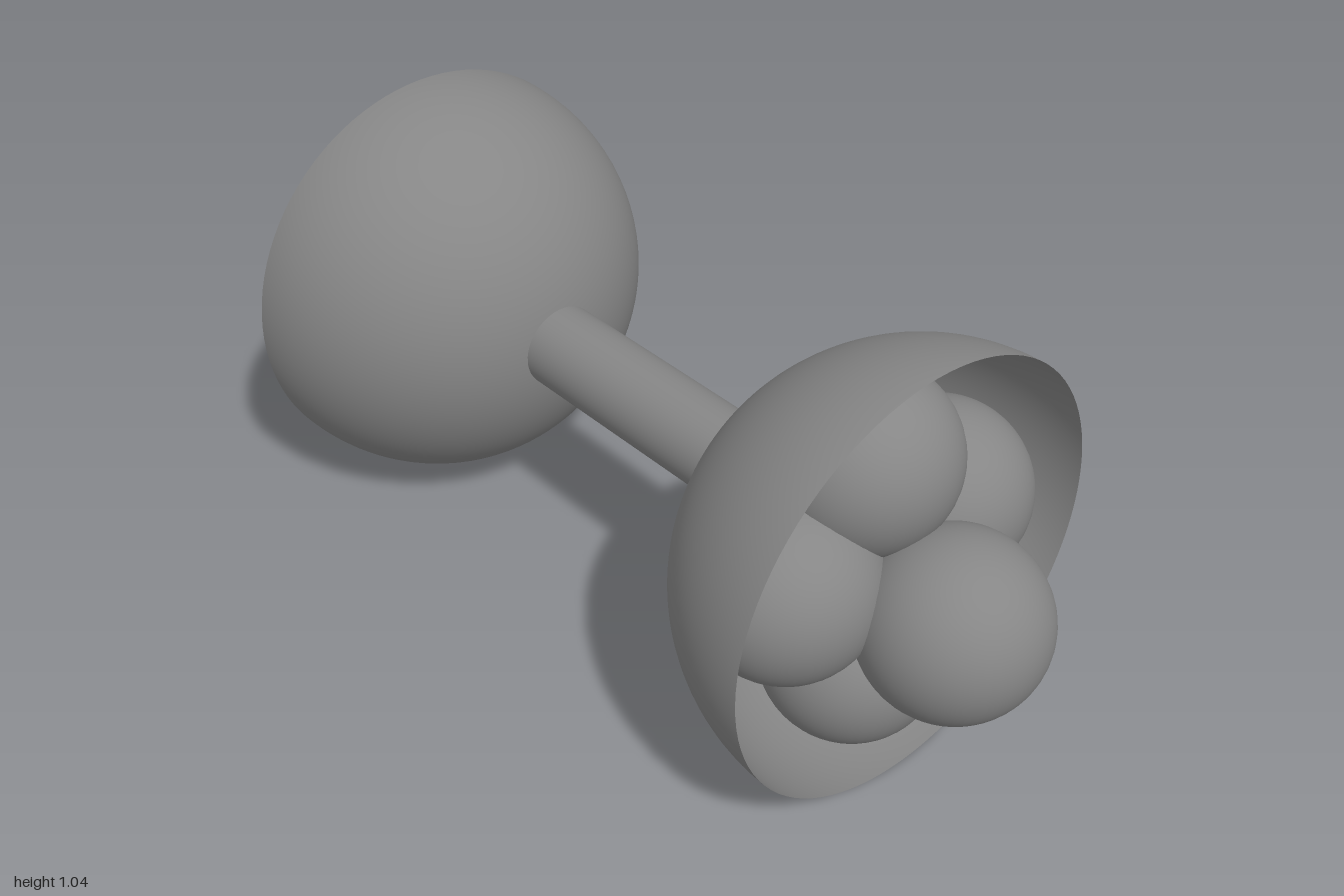
import * as THREE from 'three';

const CUP_RADIUS = 0.518;
const AXIS_Y = 0.519;

export function createModel() {
  const group = new THREE.Group();
  const solid = new THREE.MeshStandardMaterial({ color: 0x868686 });
  const shell = new THREE.MeshStandardMaterial({ color: 0x868686, side: THREE.DoubleSide });

  function add(name, geometry, material, x, y, z) {
    const mesh = new THREE.Mesh(geometry, material);
    mesh.name = name;
    mesh.position.set(x, y, z);
    group.add(mesh);
    return mesh;
  }

  // Open hemispherical cups, domes facing each other
  const cup = new THREE.SphereGeometry(CUP_RADIUS, 96, 32, 0, Math.PI * 2, 0, Math.PI / 2);
  add('frontCup', cup, shell, 0, AXIS_Y, 0.678).rotation.x = -Math.PI / 2;
  add('backCup', cup, shell, 0, AXIS_Y, -1).rotation.x = Math.PI / 2;

  // Connecting stem, its ends reaching inside both cups
  const stemBack = -0.838;
  const stemFront = 0.2;
  const stem = new THREE.CylinderGeometry(0.103, 0.103, stemFront - stemBack, 48);
  add('stem', stem, solid, 0, AXIS_Y, (stemFront + stemBack) / 2).rotation.x = Math.PI / 2;

  // Balls heaped in the front cup
  const ball = new THREE.SphereGeometry(0.207, 48, 32);
  const balls = [
    ['topBall', -0.034, 0.784, 0.531],
    ['rightBall', -0.244, 0.569, 0.531],
    ['leftBall', 0.211, 0.569, 0.531],
    ['bottomBall', -0.034, 0.259, 0.531],
    ['frontBall', -0.024, 0.504, 0.793],
  ];
  for (const [name, x, y, z] of balls) add(name, ball, solid, x, y, z);

  return group;
}
